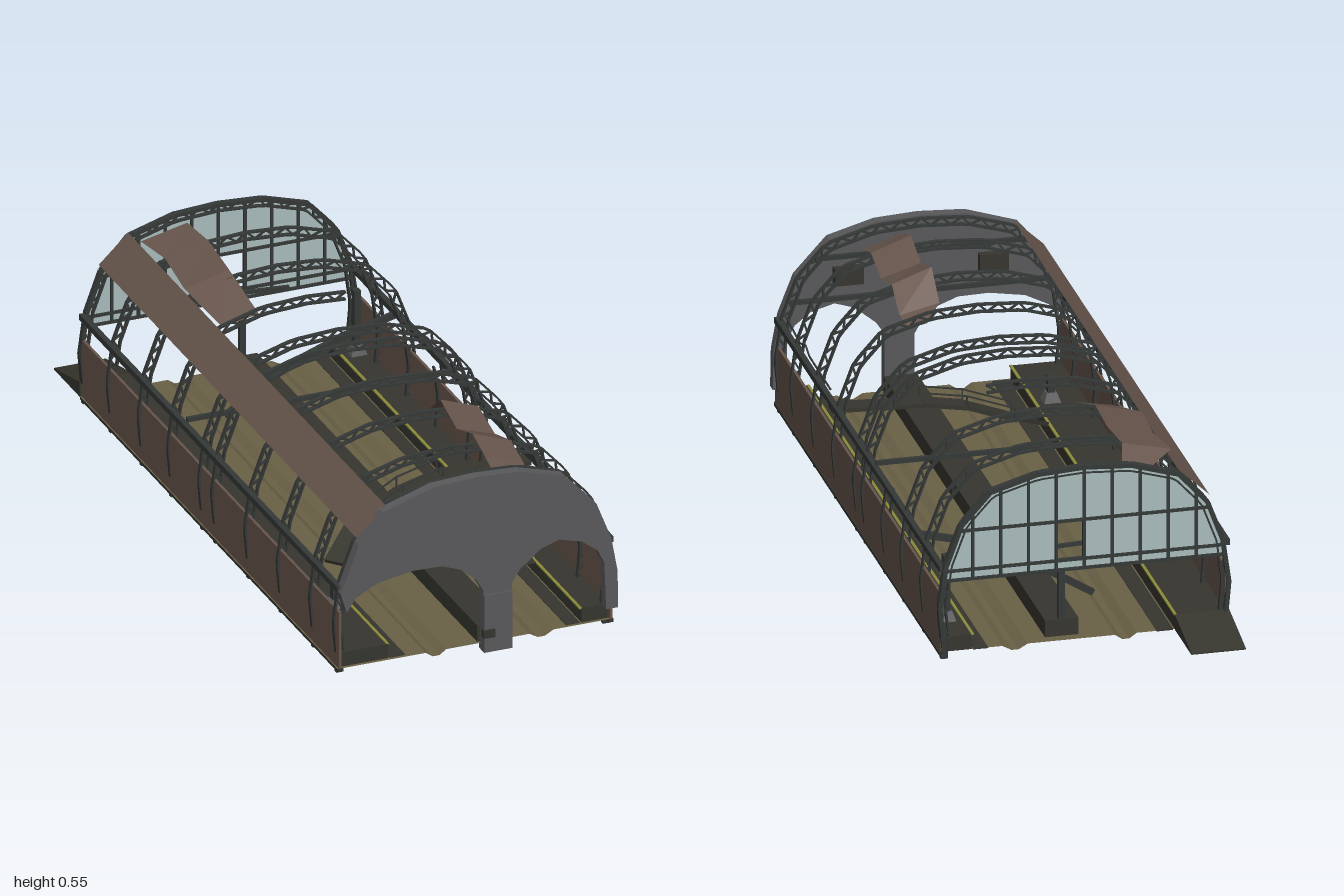
import * as THREE from 'three';
import { mergeGeometries } from 'three/addons/utils/BufferGeometryUtils.js';

const mat = (color, side = THREE.FrontSide) => new THREE.MeshStandardMaterial({ color, side, flatShading: true });
const STEEL = mat(0x343836), STONE = mat(0x59595b), BROWN = mat(0x66544b, THREE.DoubleSide), DARK = mat(0x36352e),
  OLIVE = mat(0x6a6046), UNDER = mat(0x59595b), GLASS = mat(0xa9bcbc, THREE.DoubleSide), YELLOW = mat(0x8a8a3a);

const ZB = -0.82, ZF = 0.97;
const half = [[0.39, 0.02], [0.402, 0.15], [0.385, 0.27], [0.342, 0.385], [0.262, 0.473], [0.13, 0.512], [0, 0.52]];
const arch = [...half.map(([x, y]) => [-x, y]), ...half.slice(0, -1).reverse()];

export function createModel() {
  const root = new THREE.Group();
  const add = (name, geo, m) => {
    const o = new THREE.Mesh(geo, m);
    o.name = name;
    root.add(o);
    return o;
  };
  // Box given by its limits
  const boxGeo = (x0, x1, y0, y1, z0, z1) =>
    new THREE.BoxGeometry(x1 - x0, y1 - y0, z1 - z0).translate((x0 + x1) / 2, (y0 + y1) / 2, (z0 + z1) / 2);
  const box = (name, m, ...lim) => add(name, boxGeo(...lim), m);
  // Square bar between two points
  const bar = (a, b, w, h = w) => {
    const A = new THREE.Vector3(...a), B = new THREE.Vector3(...b), o = new THREE.Object3D();
    o.position.copy(A).lerp(B, 0.5);
    o.lookAt(B);
    o.updateMatrix();
    return new THREE.BoxGeometry(w, h, A.distanceTo(B)).applyMatrix4(o.matrix);
  };
  const chain = (pts, w, h) => pts.slice(1).map((p, i) => bar(pts[i], p, w, h));
  // Ruled sheet between two edge lines
  const sheet = (a, b) => {
    const pos = [...a, ...b].flat(), idx = [], n = a.length;
    for (let i = 0; i < n - 1; i++) idx.push(i, n + i, i + 1, i + 1, n + i, n + i + 1);
    const g = new THREE.BufferGeometry();
    g.setAttribute('position', new THREE.Float32BufferAttribute(pos, 3));
    g.setIndex(idx);
    g.computeVertexNormals();
    return g;
  };

  // Floor with two track channels, and its underside
  const floor = [[-0.4, 0.02], [-0.145, 0.02], [-0.125, 0.006], [-0.105, 0.006], [-0.085, 0.02],
    [0.155, 0.02], [0.18, 0.006], [0.2, 0.006], [0.225, 0.02], [0.39, 0.02]];
  const edge = (z, dy) => floor.map(([x, y]) => [x, y + dy, z]);
  add('floor', sheet(edge(ZB, 0), edge(ZF, 0)), OLIVE);
  add('floorUnderside', sheet(edge(ZF, -0.005), edge(ZB, -0.005)), UNDER);

  // Platforms, dark margins and edge lines
  box('rightPlatform', DARK, -0.39, -0.25, 0.02, 0.062, ZB, ZF - 0.01);
  box('leftPlatform', DARK, 0.31, 0.385, 0.02, 0.062, ZB, ZF - 0.01);
  box('centrePlatform', DARK, 0.008, 0.1, 0.02, 0.068, ZB + 0.03, ZF - 0.01);
  box('rightMargin', DARK, -0.245, -0.2, 0.018, 0.022, ZB, ZF - 0.01);
  box('leftMargin', DARK, 0.265, 0.305, 0.018, 0.022, ZB, ZF - 0.01);
  box('rightEdgeLine', YELLOW, -0.255, -0.247, 0.06, 0.064, ZB, ZF - 0.01);
  box('leftEdgeLine', YELLOW, 0.303, 0.311, 0.06, 0.064, ZB, ZF - 0.01);

  // Side walls, sills and rails
  for (const [s, side] of [[1, 'left'], [-1, 'right']]) {
    const c = 0.392 * s;
    box(side + 'Wall', BROWN, c - 0.004, c + 0.004, 0.02, 0.188, ZB, ZF);
    box(side + 'Sill', DARK, c - 0.007, c + 0.007, 0.01, 0.02, ZB, ZF);
    box(side + 'Rail', STEEL, c - 0.01, c + 0.006, 0.248, 0.265, ZB, ZF);
  }

  // Lattice roof ribs
  const outline = new THREE.CurvePath();
  arch.slice(1).forEach((p, i) => outline.add(new THREE.LineCurve(new THREE.Vector2(...arch[i]), new THREE.Vector2(...p))));
  const N = 54, ring = [];
  for (let i = 0; i <= N; i++) {
    const p = outline.getPointAt(i / N), q = outline.getPointAt(Math.min(1, i / N + 0.01)), r = outline.getPointAt(Math.max(0, i / N - 0.01));
    const t = q.sub(r).normalize();
    ring.push([p, new THREE.Vector2(p.x + t.y * 0.021, p.y - t.x * 0.021)]);
  }
  const ribs = [0.945, 0.78, 0.555, 0.33, 0.1, 0.01, -0.205, -0.41, -0.625, ZB + 0.005];
  for (const z of ribs) {
    const last = z === -0.205 ? 31 : N, parts = [];
    for (let i = 0; i < last; i++) {
      const [a, b] = ring[i], [c, d] = ring[i + 1];
      const link = (p, q, w) => parts.push(bar([p.x, p.y, z], [q.x, q.y, z], w, 0.005));
      link(a, c, 0.013);
      link(b, d, 0.013);
      i % 2 ? link(a, d, 0.006) : link(b, c, 0.006);
    }
    if (last < N) for (let i = 46; i < N; i++) for (const k of [0, 1])
      parts.push(bar([ring[i][k].x, ring[i][k].y, z], [ring[i + 1][k].x, ring[i + 1][k].y, z], 0.013, 0.005));
    for (const s of [-1, 1]) parts.push(boxGeo(s * 0.385 - 0.01, s * 0.385 + 0.01, 0, 0.02, z - 0.007, z + 0.007));
    add('roofRib', mergeGeometries(parts), STEEL);
  }

  // Front facade: two arches around a central pier
  const face = new THREE.Shape([[-0.398, 0.25], [-0.385, 0.28], [-0.345, 0.385], [-0.275, 0.47], [-0.13, 0.517], [0, 0.524],
    [0.12, 0.517], [0.25, 0.48], [0.342, 0.38], [0.385, 0.27], [0.403, 0.17], [0.405, 0.06], [0.37, 0.06], [0.365, 0.2], [0.345, 0.24],
    [0.3, 0.275], [0.235, 0.293], [0.18, 0.275], [0.12, 0.225], [0.097, 0.19], [0.097, 0], [0.015, 0], [0.015, 0.183],
    [-0.007, 0.22], [-0.05, 0.257], [-0.105, 0.278], [-0.19, 0.28], [-0.29, 0.263], [-0.355, 0.23], [-0.38, 0.19]]
    .map(p => new THREE.Vector2(...p)));
  add('facade', new THREE.ExtrudeGeometry(face, { depth: 0.03, bevelEnabled: false }).translate(0, 0, 0.957), STONE);
  box('pierFront', STONE, 0.015, 0.097, 0, 0.17, 0.98, 0.993);
  box('pierPlate', DARK, 0.012, 0.045, 0.045, 0.068, 0.98, 1);
  for (const [x, w] of [[-0.2, 0.04], [0.2, 0.04]]) box('facadeFitting', DARK, x - w, x + w, 0.35, 0.4, 0.935, 0.957);
  add('facadeBeam', mergeGeometries([[-0.36, 0.31, 0.36, 0.31], [-0.29, 0.43, 0.29, 0.43]]
    .map(([a, b, c, d]) => bar([a, b, 0.95], [c, d, 0.95], 0.012))), STEEL);

  // Rear glazed gable with one broken opening
  const top = x => {
    const a = Math.abs(x);
    const i = half.findIndex(([hx], k) => k > 2 && hx <= a);
    const [x0, y0] = half[i - 1], [x1, y1] = half[i];
    return y0 + (y1 - y0) * (x0 - a) / (x0 - x1);
  };
  const pane = new THREE.Shape([[-0.39, 0.225], [0.39, 0.225], ...half.slice(2), ...half.slice(2, -1).reverse().map(([x, y]) => [-x, y])]
    .map(p => new THREE.Vector2(...p)));
  pane.holes.push(new THREE.Path([[0.0, 0.255], [0.0, 0.365], [0.077, 0.365], [0.077, 0.255]].map(p => new THREE.Vector2(...p))));
  add('gableGlass', new THREE.ShapeGeometry(pane).translate(0, 0, ZB), GLASS);
  const frame = [[0.225, 0.39], [0.252, 0.39], [0.365, 0.345]].map(([y, w]) => boxGeo(-w, w, y - 0.004, y + 0.004, ZB - 0.006, ZB + 0.006));
  for (let i = -4; i <= 4; i++) frame.push(boxGeo(i * 0.077 - 0.004, i * 0.077 + 0.004, 0.222, top(i * 0.077), ZB - 0.006, ZB + 0.006));
  frame.push(...chain(arch.map(([x, y]) => [x * 0.99, y - 0.004, ZB]), 0.016, 0.012));
  add('gableFrame', mergeGeometries(frame), STEEL);
  box('gablePost', STEEL, 0.045, 0.063, 0.06, 0.225, ZB + 0.03, ZB + 0.045);

  // Rear ramp
  const ramp = new THREE.Shape([[0.82, 0.018], [1, 0.018], [1, 0.022], [0.82, 0.062]].map(p => new THREE.Vector2(...p)));
  add('rearRamp', new THREE.ExtrudeGeometry(ramp, { depth: 0.15, bevelEnabled: false }).rotateY(Math.PI / 2).translate(-0.4, 0, 0), DARK);

  // Surviving roof strip and buckled loose panels
  add('roofStrip', sheet([[-0.345, 0.4, ZB], [-0.345, 0.4, ZF]], [[-0.26, 0.48, ZB], [-0.26, 0.48, ZF]]), BROWN);
  const panel = (name, rows) => add(name, sheet(rows.map(([z, x0, y0]) => [x0, y0, z]), rows.map(([z, , , x1, y1]) => [x1, y1, z])), BROWN);
  panel('rearRoofPanel', [[-0.8, -0.17, 0.47, -0.11, 0.485], [-0.72, -0.265, 0.5, -0.13, 0.53], [-0.6, -0.245, 0.5, -0.12, 0.53],
    [-0.43, -0.26, 0.49, -0.13, 0.522], [-0.26, -0.22, 0.445, -0.115, 0.465]]);
  panel('frontRoofPanel', [[0.41, 0.12, 0.445, 0.17, 0.435], [0.47, 0.07, 0.475, 0.18, 0.45], [0.555, 0.07, 0.545, 0.18, 0.505],
    [0.67, 0.07, 0.51, 0.18, 0.475], [0.78, 0.07, 0.545, 0.18, 0.505], [0.87, 0.07, 0.515, 0.18, 0.48], [0.96, 0.08, 0.46, 0.17, 0.44]]);

  // Fallen footbridge with handrails
  const deck = [[-0.215, 0.088, 0.5], [-0.12, 0.145, 0.42], [0.02, 0.205, 0.395], [0.14, 0.23, 0.385], [0.39, 0.235, 0.395]];
  add('fallenFootbridge', mergeGeometries(chain(deck, 0.055, 0.012)), DARK);
  const rails = [];
  for (const dz of [-0.025, 0.025]) {
    const up = deck.slice(1, 4).map(([x, y, z]) => [x, y + 0.035, z + dz]);
    rails.push(...chain(up, 0.004, 0.004));
    up.forEach(([x, y, z]) => rails.push(boxGeo(x - 0.002, x + 0.002, y - 0.035, y, z - 0.002, z + 0.002)));
  }
  add('footbridgeRails', mergeGeometries(rails), STEEL);

  // Fallen beams
  add('fallenBeam', mergeGeometries(chain([[-0.095, 0.03, -0.54], [0.03, 0.11, -0.55], [0.13, 0.172, -0.525], [0.24, 0.208, -0.53], [0.39, 0.245, -0.53]], 0.014, 0.018)), STEEL);
  add('hangingBeam', mergeGeometries(chain([[-0.2, 0.262, -0.76], [0, 0.272, -0.765], [0.18, 0.262, -0.76]], 0.01)), STEEL);
  add('crossTie', bar([-0.39, 0.275, -0.1], [0.39, 0.275, -0.1], 0.012), STEEL);
  add('looseCable', mergeGeometries(chain([[0.37, 0.27, 0.95], [0.38, 0.272, 0.76], [0.38, 0.29, 0.7], [0.38, 0.275, 0.66], [0.38, 0.272, 0.43]], 0.004)), STEEL);

  // Platform stands
  for (const [x, h, z] of [[-0.295, 0.135, 0.7], [0.35, 0.25, -0.7]]) {
    add('standBase', new THREE.CylinderGeometry(0.02, 0.033, 0.027, 4, 1).rotateY(Math.PI / 4).translate(x, 0.075, z), STONE);
    box('standPost', STEEL, x - 0.01, x + 0.01, 0.085, h, z - 0.01, z + 0.01);
  }
  box('rightLoosePlate', DARK, -0.255, -0.205, 0.061, 0.064, 0.6, 0.66);
  box('leftLoosePlate', DARK, 0.265, 0.31, 0.061, 0.064, 0.6, 0.66);
  return root;
}
